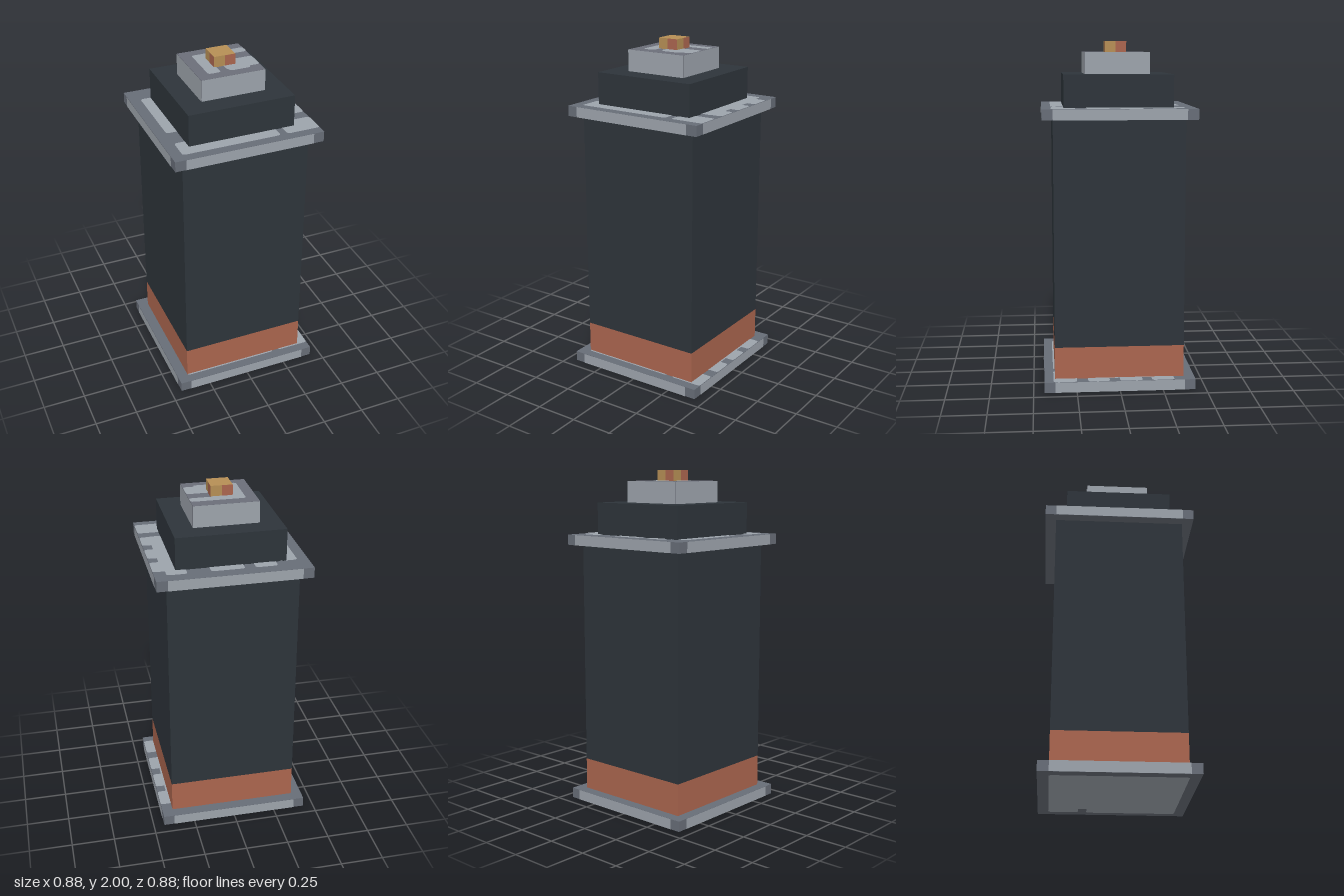
import * as THREE from 'three';

const material = (name, color, extra = {}) => {
  const m = new THREE.MeshStandardMaterial({ color, ...extra });
  m.name = name;
  return m;
};

export function createModel() {
  const group = new THREE.Group();
  group.name = 'squarePillar';

  const charcoal = material('charcoal', 0x2d343a);
  const copper = material('copper', 0xaa654e);
  const gold = material('gold', 0xb58e55);
  const lightStone = material('lightStone', 0x9ca3ab);
  const darkStone = material('darkStone', 0x676d77);
  const capStone = material('capStone', 0x6b6e79);

  const LIFT = 0.002;

  const add = (parent, name, geometry, mat) => {
    const mesh = new THREE.Mesh(geometry, mat);
    mesh.name = name;
    parent.add(mesh);
    return mesh;
  };

  // square block centred on the axis, from y0 to y1
  const block = (parent, name, half, y0, y1, mat) => {
    const mesh = add(parent, name, new THREE.BoxGeometry(half * 2, y1 - y0, half * 2), mat);
    mesh.position.y = (y0 + y1) / 2;
    return mesh;
  };

  // the same flat panel on all four sides, x measured from the left as seen outside
  const sidePanels = (parent, name, half, x0, x1, y0, y1, mat) => {
    for (let i = 0; i < 4; i++) {
      const g = new THREE.PlaneGeometry(x1 - x0, y1 - y0);
      g.translate((x0 + x1) / 2, (y0 + y1) / 2, half + LIFT);
      g.rotateY((i * Math.PI) / 2);
      add(parent, name, g, mat);
    }
  };

  // rounded flat patches [x0, z0, x1, z1], facing up or down
  const patches = (parent, name, rects, y, up, mat) => {
    const r = 0.018;
    const shapes = rects.map(([x0, z0, x1, z1]) => {
      const [b, t] = up ? [-z1, -z0] : [z0, z1];
      const s = new THREE.Shape();
      s.moveTo(x0 + r, b);
      s.lineTo(x1 - r, b);
      s.quadraticCurveTo(x1, b, x1, b + r);
      s.lineTo(x1, t - r);
      s.quadraticCurveTo(x1, t, x1 - r, t);
      s.lineTo(x0 + r, t);
      s.quadraticCurveTo(x0, t, x0, t - r);
      s.lineTo(x0, b + r);
      s.quadraticCurveTo(x0, b, x0 + r, b);
      return s;
    });
    const g = new THREE.ShapeGeometry(shapes, 4);
    g.rotateX(up ? -Math.PI / 2 : Math.PI / 2);
    add(parent, name, g, mat).position.y = y + (up ? LIFT : -LIFT);
  };

  // worn pale stone on the upper face of each slab
  const slabTop = [
    [-0.375, -0.315, -0.25, 0.13],
    [-0.375, 0.25, 0.2, 0.385],
    [0.24, 0.25, 0.4375, 0.385],
    [-0.25, -0.37, -0.125, -0.25],
    [-0.065, -0.37, 0.125, -0.25],
    [0.255, -0.37, 0.37, -0.25],
    [0.25, -0.315, 0.385, 0.19],
    [0.33, -0.315, 0.4375, -0.185],
    [0.33, -0.13, 0.4375, 0],
    [0.33, 0.06, 0.4375, 0.185],
  ];
  // underside wear, with one notch near the +x edge
  const slabBottom = [
    [-0.375, -0.375, 0.3, 0.375],
    [0.2, -0.375, 0.375, -0.2],
    [0.2, -0.15, 0.38, 0.375],
  ];
  const bottomTabs = [
    [0.33, -0.315, 0.4375, -0.19],
    [0.33, -0.13, 0.4375, 0],
    [0.33, 0.06, 0.4375, 0.19],
  ];

  // base and upper slabs: dark corners, pale sides
  for (const [name, y0, extra] of [['baseSlab', 0, []], ['upperSlab', 1.5625, bottomTabs]]) {
    const slab = new THREE.Group();
    slab.name = name;
    group.add(slab);
    const y1 = y0 + 0.0625;
    // underside of the base is kept level with the ground
    block(slab, name + 'Core', 0.4375, y0 + LIFT, y1, darkStone);
    sidePanels(slab, name + 'Side', 0.4375, -0.375, 0.375, y0 + LIFT, y1, lightStone);
    patches(slab, name + 'TopWear', slabTop, y1, true, lightStone);
    patches(slab, name + 'BottomWear', [...slabBottom, ...extra], y0 + LIFT, false, lightStone);
  }

  // shaft with copper foot band
  block(group, 'footBand', 0.375, 0.0625, 0.25, copper);
  block(group, 'shaft', 0.375, 0.25, 1.5645, charcoal);

  // stepped top
  block(group, 'upperBlock', 0.3125, 1.625, 1.8125, charcoal);
  const cap = new THREE.Group();
  cap.name = 'cap';
  group.add(cap);
  block(cap, 'capCore', 0.1875, 1.8125, 1.9375, capStone);
  sidePanels(cap, 'capSide', 0.1875, -0.1875, 0.1875, 1.8125, 1.9375, lightStone);
  patches(cap, 'capTopWear', [
    [-0.125, -0.125, 0.1875, -0.068],
    [-0.125, -0.125, -0.05, 0.132],
    [-0.06, -0.09, 0.06, 0.06],
    [-0.008, 0, 0.1875, 0.115],
    [0, 0.05, 0.125, 0.135],
  ], 1.9375, true, lightStone);

  // knob: gold with a copper half on every side
  const knob = new THREE.Group();
  knob.name = 'knob';
  group.add(knob);
  block(knob, 'knobCore', 0.0625, 1.9375, 2, gold);
  sidePanels(knob, 'knobSide', 0.0625, 0, 0.0625, 1.9375, 2, copper);

  return group;
}
